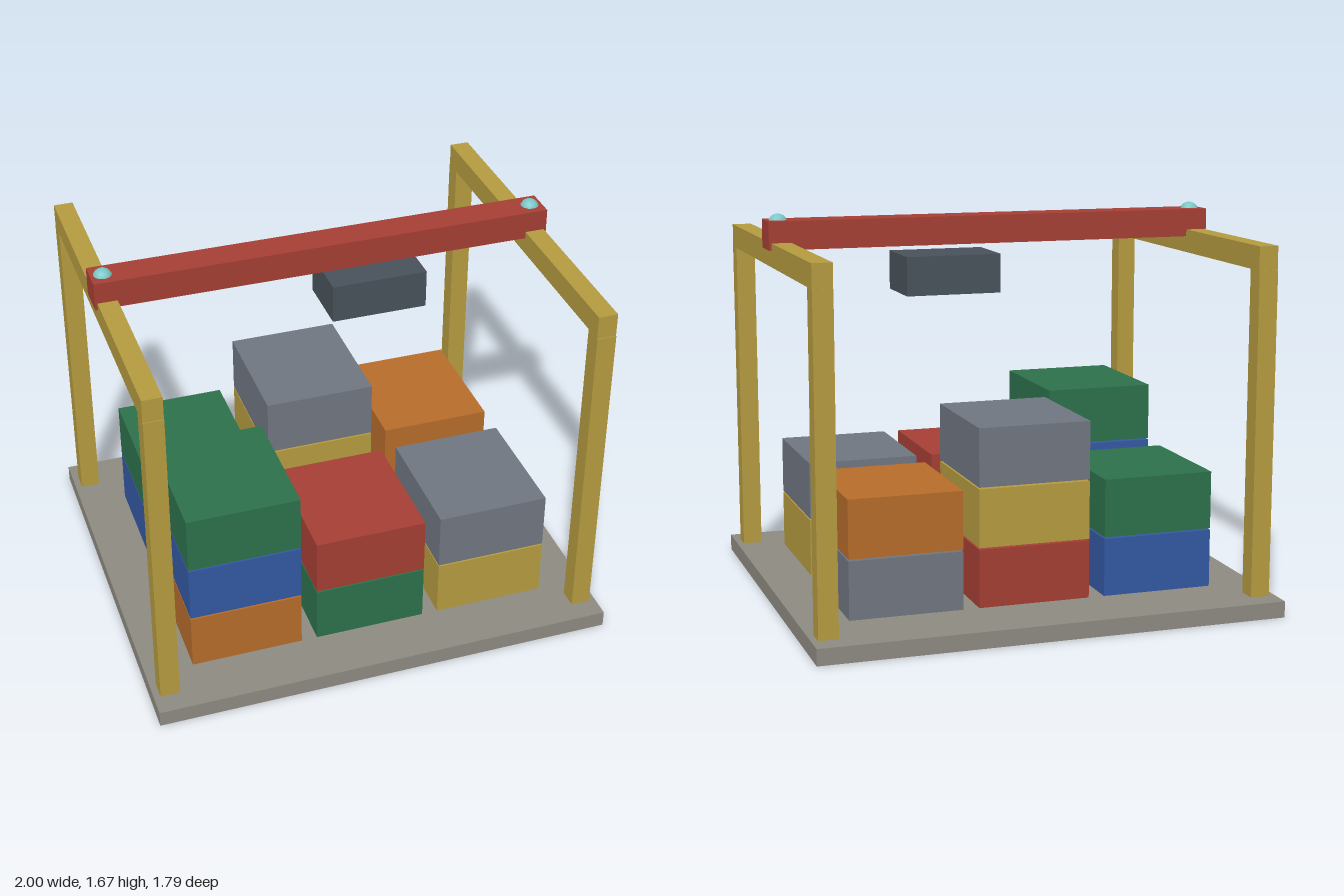
import * as THREE from 'three';

const paint = (name, color) => {
  const m = new THREE.MeshStandardMaterial({ color });
  m.name = name;
  return m;
};

export function createModel() {
  const mats = {
    concrete: paint('concrete', 0x8d8a81),
    yellow: paint('yellow', 0xb59b40),
    red: paint('red', 0xa53f34),
    green: paint('green', 0x2c714b),
    blue: paint('blue', 0x3359a2),
    orange: paint('orange', 0xb66c2a),
    grey: paint('grey', 0x707681),
    dark: paint('dark steel', 0x48525a),
    lamp: paint('lamp teal', 0x7cc6c6),
  };
  const model = new THREE.Group();
  model.name = 'containerYard';

  const add = (name, geometry, mat, x, y, z, parent = model) => {
    const mesh = new THREE.Mesh(geometry, mats[mat]);
    mesh.name = name;
    mesh.position.set(x, y, z);
    parent.add(mesh);
    return mesh;
  };
  const box = (w, h, d) => new THREE.BoxGeometry(w, h, d);

  // Ground slab
  add('groundSlab', box(2, 0.07, 1.79), 'concrete', 0, 0.035, 0);

  // Container stacks, each listed from the bottom up
  const rows = [
    { name: 'front', z: 0.378, stacks: [['orange', 'blue', 'green'], ['green', 'red'], ['yellow', 'grey']] },
    { name: 'back', z: -0.31, stacks: [['blue', 'green'], ['red', 'yellow', 'grey'], ['grey', 'orange']] },
  ];
  const container = box(0.483, 0.248, 0.553);
  for (const row of rows) {
    row.stacks.forEach((colours, column) => {
      const stack = new THREE.Group();
      stack.name = `${row.name}Stack${column + 1}`;
      stack.position.set((column - 1) * 0.552, 0.07, row.z);
      colours.forEach((colour, level) =>
        add(`container${level + 1}`, container, colour, 0, 0.124 + level * 0.255, 0, stack));
      model.add(stack);
    });
  }

  // Gantry frames: two posts, a top rail and a lamp on each side
  for (const side of [-1, 1]) {
    const frame = new THREE.Group();
    frame.name = side > 0 ? 'leftFrame' : 'rightFrame';
    frame.position.x = side * 0.93;
    for (const end of [-1, 1]) {
      add(end > 0 ? 'frontPost' : 'backPost', box(0.083, 1.38, 0.083), 'yellow', 0, 0.76, end * 0.76, frame);
    }
    add('topRail', box(0.083, 0.1, 1.595), 'yellow', 0, 1.5, 0, frame);
    add('lamp', new THREE.SphereGeometry(0.042, 12, 8), 'lamp', 0, 1.625, 0, frame);
    model.add(frame);
  }

  // Bridge beam and hoist trolley
  add('bridgeBeam', box(1.965, 0.12, 0.138), 'red', 0, 1.58, 0);
  add('hoistTrolley', box(0.414, 0.166, 0.276), 'dark', 0.207, 1.398, 0);

  return model;
}
